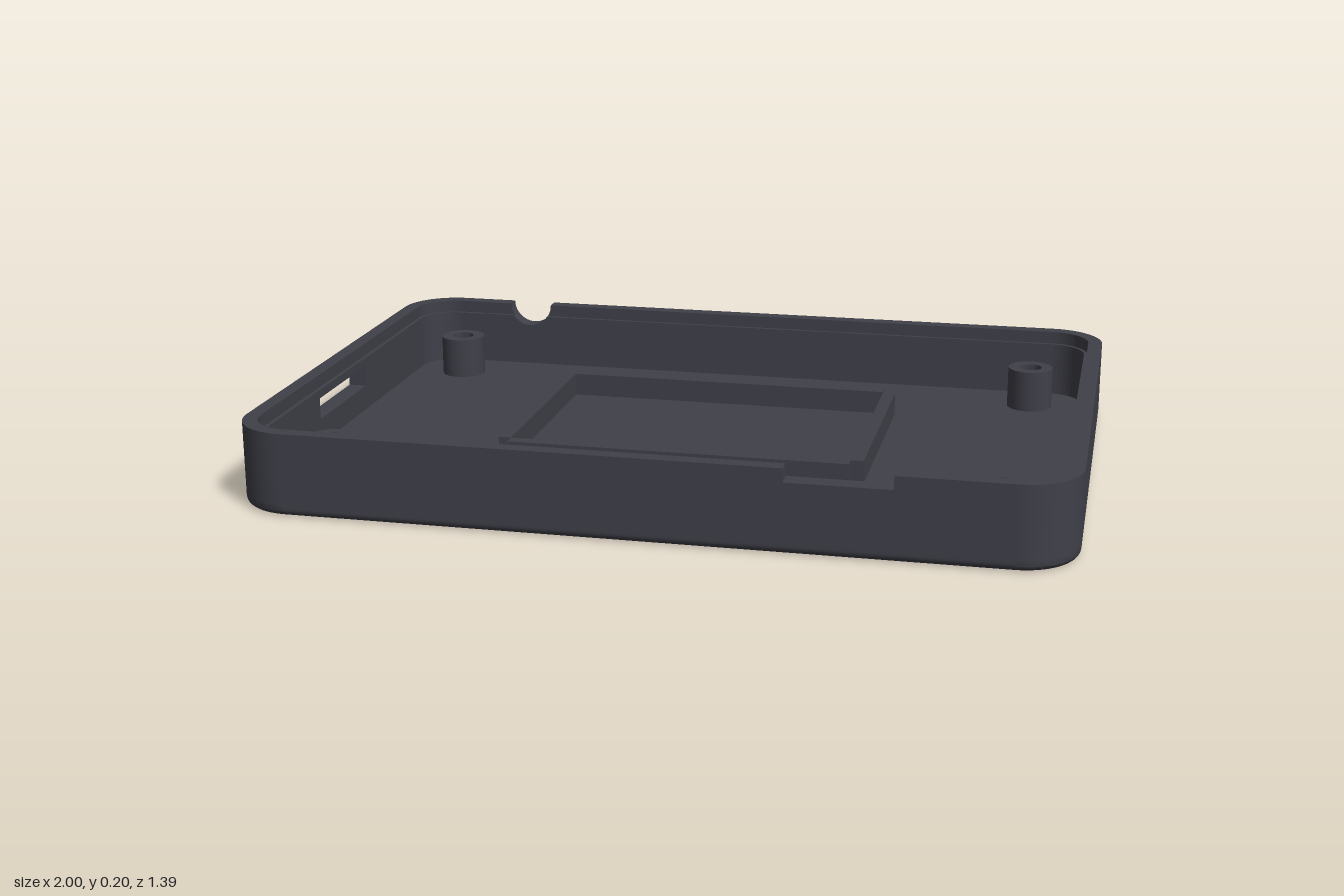
import * as THREE from 'three';
import { toCreasedNormals } from 'three/addons/utils/BufferGeometryUtils.js';

const HX = 1, HZ = 0.695, R = 0.14;          // half width, half depth, corner radius
const H = 0.205, FLOOR = 0.03, LEDGE = 0.172; // rim, floor top and inner ledge heights
const RIM = 0.037, WALL = 0.047, FILLET = 0.02;
const BOSS_R = 0.06, BOSS_H = 0.139, BORE = 0.03, SINK = 0.055, LIGHT_R = 0.022;
const SEG = 12;

const bosses = [-0.813, 0.813].flatMap(x => [-0.515, 0.486].map(z => [x, z]));
const lights = [[-0.19, 0.53], [-0.05, 0.53]];

// bottom fillet as [inset, height], from the underside up
const fillet = [0, 1, 2, 3, 4, 5, 6].map(i => {
  const a = i / 6 * Math.PI / 2;
  return [FILLET * (1 - Math.sin(a)), FILLET * (1 - Math.cos(a))];
}).concat([[0, FLOOR]]);

function circle(x, y, r) {
  return new THREE.Path().absarc(x, y, r, 0, Math.PI * 2, false);
}

function roundedRect(hx, hy, r) {
  const s = new THREE.Shape();
  s.absarc(hx - r, hy - r, r, 0, Math.PI / 2, false);
  s.absarc(-hx + r, hy - r, r, Math.PI / 2, Math.PI, false);
  s.absarc(-hx + r, -hy + r, r, Math.PI, Math.PI * 1.5, false);
  s.absarc(hx - r, -hy + r, r, Math.PI * 1.5, Math.PI * 2, false);
  s.closePath();
  return s;
}

// horizontal sheet pierced by the screw and light holes
function sheet(inset, y, up, screwR) {
  const s = roundedRect(HX - inset, HZ - inset, R - inset);
  const k = up ? -1 : 1;
  for (const [x, z] of bosses) s.holes.push(circle(x, k * z, screwR));
  for (const [x, z] of lights) s.holes.push(circle(x, k * z, LIGHT_R));
  return new THREE.ShapeGeometry(s, SEG).rotateX(k * Math.PI / 2).translate(0, y, 0);
}

// upright wall layer with its cut-outs
function panel(side, top, inner, thick) {
  const L = side.half - R, s = new THREE.Shape();
  s.moveTo(-L, FLOOR);
  s.lineTo(L, FLOOR);
  s.lineTo(L, top);
  if (side.round) {
    const [c, r] = side.round, a = Math.asin((H - top) / r);
    s.lineTo(c + r * Math.cos(a), top);
    s.absarc(c, H, r, -a, -Math.PI + a, true);
  }
  if (side.notch && top > LEDGE) {
    const [a, b] = side.notch;
    s.lineTo(b, top);
    s.lineTo(b, LEDGE);
    s.lineTo(a, LEDGE);
    s.lineTo(a, top);
  }
  s.lineTo(-L, top);
  s.closePath();
  if (side.slot) {
    const [a, b, y0, y1] = side.slot;
    s.holes.push(new THREE.Path([[a, y0], [a, y1], [b, y1], [b, y0]].map(p => new THREE.Vector2(...p))));
  }
  const g = new THREE.ExtrudeGeometry(s, { depth: thick, bevelEnabled: false, curveSegments: SEG });
  return toCreasedNormals(g.translate(0, 0, side.dist - inner), 0.6);
}

// rounded lower edge below a straight wall
function skirt(side) {
  const n = fillet.length - 1;
  const g = new THREE.PlaneGeometry(2 * (side.half - R), 1, 1, n);
  const p = g.attributes.position;
  for (let i = 0; i < p.count; i++) {
    const [inset, y] = fillet[n - Math.floor(i / 2)];
    p.setY(i, y);
    p.setZ(i, side.dist - inset);
  }
  g.computeVertexNormals();
  return g;
}

function lathe(points, segments, start, length) {
  const g = new THREE.LatheGeometry(points.map(p => new THREE.Vector2(...p)), segments, start, length);
  return toCreasedNormals(g, 0.6);
}

export function createModel() {
  const plastic = new THREE.MeshStandardMaterial({ color: 0x40404a });
  plastic.name = 'dark grey plastic';
  const model = new THREE.Group();
  model.name = 'enclosureBase';

  function add(name, geometry, x = 0, y = 0, z = 0, turn = 0) {
    const m = new THREE.Mesh(geometry, plastic);
    m.name = name;
    m.position.set(x, y, z);
    m.rotation.y = turn;
    model.add(m);
  }

  // floor
  add('floorTop', sheet(WALL, FLOOR, true, BOSS_R));
  add('underside', sheet(FILLET, 0, false, SINK));

  // straight walls: notch in front, round cable cut at the back, slot in the right wall
  const sides = [
    { name: 'front', half: HX, dist: HZ, turn: 0, notch: [0.34, 0.59] },
    { name: 'left', half: HZ, dist: HX, turn: Math.PI / 2 },
    { name: 'back', half: HX, dist: HZ, turn: Math.PI, round: [0.65, 0.06] },
    { name: 'right', half: HZ, dist: HX, turn: -Math.PI / 2, slot: [-0.1, 0.22, 0.095, 0.15] },
  ];
  for (const s of sides) {
    add(s.name + 'Wall', panel(s, H, RIM, RIM), 0, 0, 0, s.turn);
    add(s.name + 'InnerLedge', panel(s, LEDGE, WALL, WALL - RIM), 0, 0, 0, s.turn);
    add(s.name + 'LowerEdge', skirt(s), 0, 0, 0, s.turn);
  }

  // rounded corners
  const section = [...fillet, [0, H], [RIM, H], [RIM, LEDGE], [WALL, LEDGE], [WALL, FLOOR]]
    .map(([inset, y]) => [R - inset, y]);
  [[1, 1], [1, -1], [-1, -1], [-1, 1]].forEach(([sx, sz], k) => {
    add('corner', lathe(section, SEG * 2, k * Math.PI / 2, Math.PI / 2), sx * (HX - R), 0, sz * (HZ - R));
  });

  // screw bosses with countersunk bores
  const boss = lathe([[BOSS_R, FLOOR], [BOSS_R, BOSS_H], [BORE, BOSS_H], [BORE, FLOOR], [SINK, 0]], SEG * 2);
  for (const [x, z] of bosses) add('screwBoss', boss, x, 0, z);

  // indicator light holes
  const lightHole = lathe([[LIGHT_R, FLOOR], [LIGHT_R, 0]], SEG * 2);
  for (const [x, z] of lights) add('lightHole', lightHole, x, 0, z);

  // raised frame on the floor
  const t = 0.032, fh = 0.06, fy = FLOOR + fh / 2, cz = -0.05, fx = 0.431, fz = 0.304;
  for (const s of [-1, 1]) {
    add('frameLongBar', new THREE.BoxGeometry(2 * fx, fh, t), 0, fy, cz + s * (fz + t / 2));
    add('frameShortBar', new THREE.BoxGeometry(t, fh, 2 * fz), s * (fx + t / 2), fy, cz);
  }
  return model;
}
